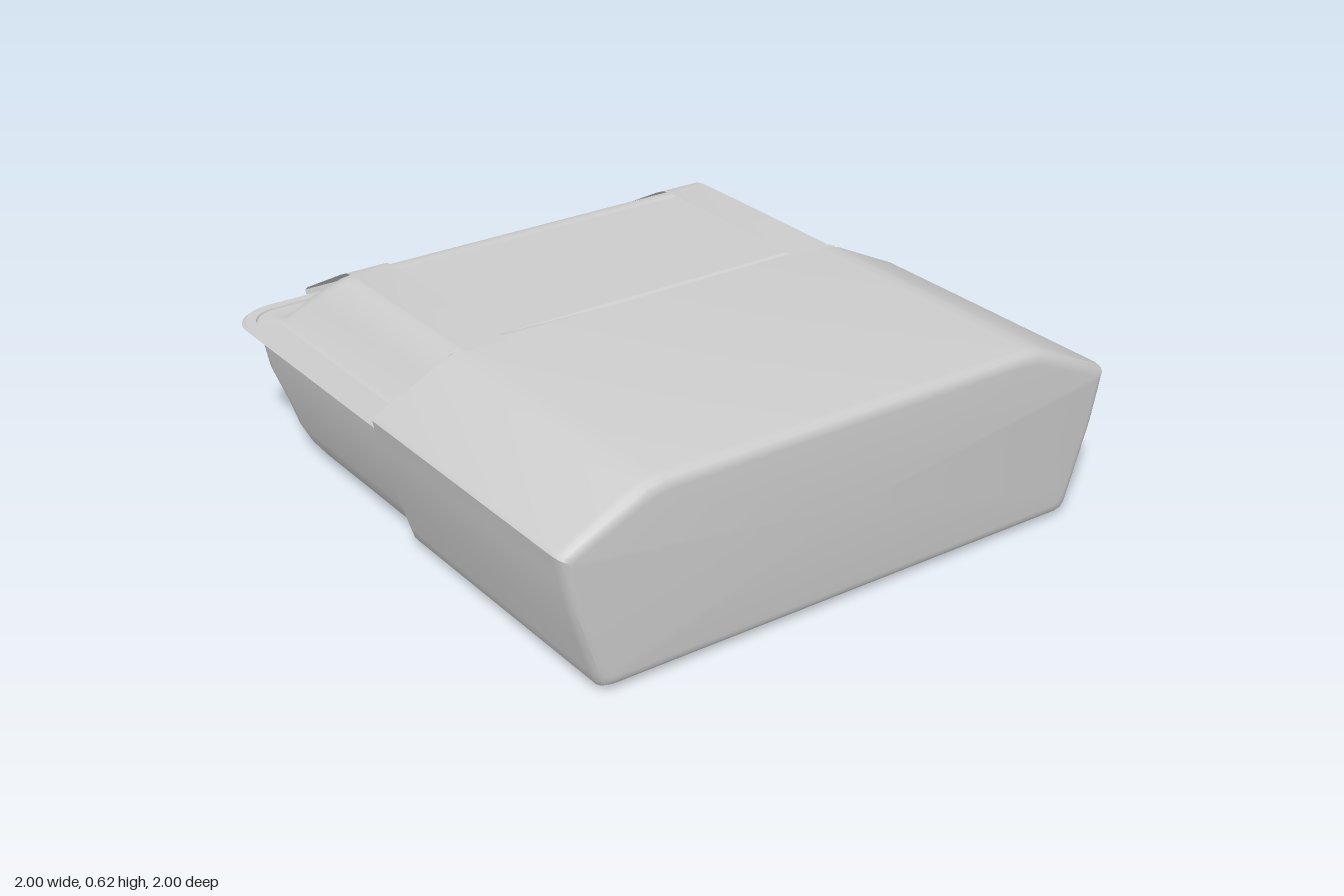
import * as THREE from 'three';
import { toCreasedNormals } from 'three/addons/utils/BufferGeometryUtils.js';

const grey = () => new THREE.MeshStandardMaterial({ color: 0xcccccc, side: THREE.DoubleSide });

// skin a list of equally long closed rings
function loft(rings, crease = 0.5) {
  const n = rings[0].length, index = [];
  for (let i = 0; i < rings.length - 1; i++) {
    for (let j = 0; j < n; j++) {
      const a = i * n + j, b = i * n + (j + 1) % n;
      index.push(a, a + n, b, b, a + n, b + n);
    }
  }
  const g = new THREE.BufferGeometry();
  g.setAttribute('position', new THREE.Float32BufferAttribute(rings.flat(2), 3));
  g.setIndex(index);
  return toCreasedNormals(g, crease);
}

// horizontal rounded rectangle; d is its reach to the open end
function ring(d, z, r, y) {
  const pts = [], hx = Math.max(d - 0.02, 0), steps = 8;
  for (let q = 0; q < 4; q++) {
    const sx = q === 0 || q === 3 ? 1 : -1, sz = q < 2 ? 1 : -1;
    for (let k = 0; k <= steps; k++) {
      const a = (q + k / steps) * Math.PI / 2;
      pts.push([-0.02 + sx * (hx - r) + r * Math.cos(a), y, sz * (z - r) + r * Math.sin(a)]);
    }
  }
  return pts;
}

// right half of the sleeve section as [z, y], bottom to top
const half = [[0.84, 0.012], [0.865, 0.018], [0.878, 0.035], [0.89, 0.07], [0.925, 0.18], [0.963, 0.3],
  [0.983, 0.39], [0.997, 0.455], [1, 0.467], [0.99, 0.478], [0.765, 0.587], [0.72, 0.605], [0.66, 0.615]];
const section = [...half, ...half.map(([z, y]) => [-z, y]).reverse()];

// height of the sleeve top at a given z
function roofY(z) {
  const a = Math.abs(z);
  return a < 0.66 ? 0.617 : a < 0.72 ? 0.617 - (a - 0.66) * 0.17 : 0.607 - (a - 0.72) * 0.42;
}

// ribbon following an [x, y] path, between two z values
function ribbon(path, z0, z1) {
  const g = new THREE.PlaneGeometry(1, 1, path.length - 1, 1), p = g.attributes.position;
  for (let i = 0; i < p.count; i++) {
    const [x, y] = path[i % path.length];
    p.setXYZ(i, x, y, i < path.length ? z0 : z1);
  }
  return toCreasedNormals(g, 0.6);
}

export function createModel() {
  const group = new THREE.Group();
  const add = (name, geometry) => {
    const mesh = new THREE.Mesh(geometry, grey());
    mesh.name = name;
    group.add(mesh);
    return mesh;
  };

  // tray with a flat rim
  add('tray', loft([
    ring(0, 0, 0, 0.015), ring(0.75, 0.8, 0.12, 0.015), ring(0.785, 0.83, 0.14, 0.025),
    ring(0.83, 0.855, 0.15, 0.06), ring(0.865, 0.875, 0.15, 0.11), ring(0.893, 0.895, 0.15, 0.19),
    ring(0.92, 0.93, 0.14, 0.3), ring(0.937, 0.945, 0.13, 0.42), ring(0.975, 0.975, 0.13, 0.422),
    ring(0.985, 0.985, 0.13, 0.431), ring(0.975, 0.975, 0.13, 0.442), ring(0.943, 0.943, 0.1, 0.442),
    ring(0.94, 0.94, 0.1, 0.434),
  ]));

  // lid with sloping sides and a slightly sunken top
  add('lid', loft([
    ring(0.94, 0.94, 0.09, 0.436), ring(0.875, 0.875, 0.04, 0.436), ring(0.855, 0.86, 0.05, 0.447),
    ring(0.79, 0.8, 0.06, 0.527), ring(0.73, 0.74, 0.06, 0.587), ring(0.705, 0.71, 0.05, 0.603),
    ring(0.685, 0.685, 0.04, 0.609), ring(0.668, 0.668, 0.03, 0.609), ring(0.66, 0.66, 0.03, 0.6),
    ring(0, 0, 0, 0.6),
  ]));

  // card sleeve: open at the tray side, closed with a soft edge at the other
  const slices = [[0, 0], [0.955, 0], [0.975, 0.004], [0.99, 0.013], [0.998, 0.026], [1, 0.04]];
  const rings = slices.map(([x, d]) =>
    section.map(([z, y]) => [x, 0.313 + (y - 0.313) * (1 - d / 0.3), z * (1 - d)]));
  rings.push(section.map(() => [1, 0.313, 0]));
  add('sleeve', loft(rings));

  // curved tongue of the sleeve between the straps, filleted into them
  const tongue = new THREE.Shape();
  tongue.moveTo(0.02, -0.74);
  tongue.lineTo(-0.005, -0.74);
  tongue.quadraticCurveTo(-0.008, -0.69, -0.06, -0.69);
  tongue.lineTo(-0.06, -0.545);
  tongue.lineTo(-0.035, -0.545);
  tongue.quadraticCurveTo(-0.01, -0.545, -0.02, -0.515);
  tongue.bezierCurveTo(-0.11, -0.32, -0.16, -0.16, -0.16, 0);
  tongue.bezierCurveTo(-0.16, 0.16, -0.11, 0.32, -0.02, 0.515);
  tongue.quadraticCurveTo(-0.01, 0.545, -0.035, 0.545);
  tongue.lineTo(-0.06, 0.545);
  tongue.lineTo(-0.06, 0.69);
  tongue.quadraticCurveTo(-0.008, 0.69, -0.005, 0.74);
  tongue.lineTo(0.02, 0.74);
  const sheet = new THREE.ShapeGeometry(tongue, 12), p = sheet.attributes.position;
  // lay the flat outline on the roof of the sleeve
  for (let i = 0; i < p.count; i++) p.setXYZ(i, p.getX(i), roofY(p.getY(i)), -p.getY(i));
  sheet.computeVertexNormals();
  add('sleeveTongue', sheet);

  // two straps wrapping the open end of the tray
  const strap = [[0.03, 0.619], [-0.66, 0.62], [-0.7, 0.613], [-0.74, 0.594], [-0.985, 0.463], [-1, 0.45],
    [-0.992, 0.42], [-0.94, 0.27], [-0.875, 0.095], [-0.845, 0.05], [-0.79, 0.012], [-0.76, 0.007],
    [-0.02, 0.006], [0, 0.001], [0.05, 0]];
  add('backStrap', ribbon(strap, -0.695, -0.547));
  add('frontStrap', ribbon(strap, 0.547, 0.695));

  return group;
}
